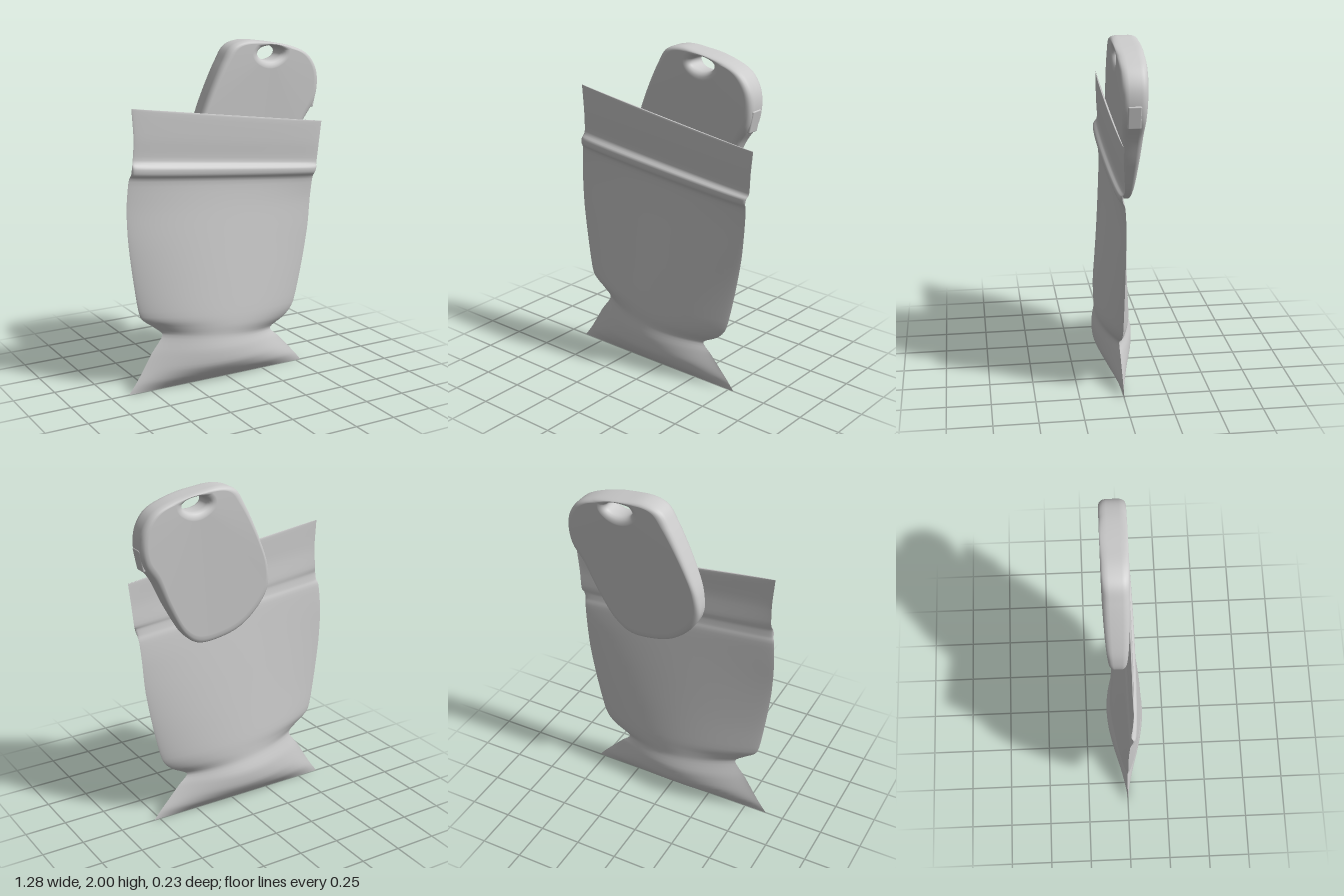
import * as THREE from 'three';
import { RoundedBoxGeometry } from 'three/addons/geometries/RoundedBoxGeometry.js';

const material = new THREE.MeshStandardMaterial({ color: 0xcccccc });

// Smooth surface through rows of points; wrap closes it along both directions
function surface(rows, flip, wrap = false) {
  const m = rows.length, n = rows[0].length, index = [];
  const iEnd = wrap ? m : m - 1, jEnd = wrap ? n : n - 1;
  for (let i = 0; i < iEnd; i++) for (let j = 0; j < jEnd; j++) {
    const i2 = (i + 1) % m, j2 = (j + 1) % n;
    const a = i * n + j, b = i2 * n + j, c = i2 * n + j2, d = i * n + j2;
    if (flip) index.push(a, c, b, a, d, c);
    else index.push(a, b, c, a, c, d);
  }
  const g = new THREE.BufferGeometry();
  g.setAttribute('position', new THREE.Float32BufferAttribute(rows.flat(2), 3));
  g.setIndex(index);
  g.computeVertexNormals();
  return g;
}

function add(group, name, geometry) {
  const mesh = new THREE.Mesh(geometry, material);
  mesh.name = name;
  group.add(mesh);
  return mesh;
}

// Pouch rows: left x, y | right x, y | edge z | front bulge, back bulge, bulge power
const pouchRows = [
  [-0.60, 1.665, 0.645, 1.50, 0.022, 0.010, -0.010, 0.5],
  [-0.60, 1.655, 0.643, 1.49, 0.022, 0.017, -0.004, 0.5],
  [-0.59, 1.50, 0.63, 1.37, 0.020, 0.016, -0.004, 0.5],
  [-0.595, 1.38, 0.62, 1.255, 0.014, 0.016, 0.002, 0.5],
  [-0.605, 1.34, 0.61, 1.225, 0.025, 0.033, 0.012, 0.3],
  [-0.61, 1.30, 0.60, 1.19, 0.022, 0.033, 0.015, 0.3],
  [-0.62, 1.26, 0.595, 1.15, 0.008, 0.024, 0.012, 0.6],
  [-0.632, 1.10, 0.585, 1.03, 0, 0.038, 0.02, 0.8],
  [-0.625, 0.90, 0.57, 0.85, 0, 0.056, 0.04, 0.8],
  [-0.595, 0.65, 0.53, 0.62, 0, 0.08, 0.064, 0.8],
  [-0.56, 0.46, 0.475, 0.39, 0, 0.10, 0.084, 0.8],
  [-0.48, 0.39, 0.41, 0.31, 0, 0.103, 0.088, 0.9],
  [-0.42, 0.33, 0.31, 0.25, 0, 0.10, 0.092, 1],
  [-0.49, 0.23, 0.365, 0.19, 0, 0.113, 0.115, 1.2],
  [-0.55, 0.13, 0.43, 0.12, 0, 0.108, 0.108, 1.2],
  [-0.595, 0.06, 0.49, 0.055, 0, 0.065, 0.065, 1],
  [-0.64, 0.0, 0.535, 0.0, 0, 0, 0, 1],
];

function pouchPanel(front) {
  const spline = (f) => new THREE.CatmullRomCurve3(
    pouchRows.map((r) => new THREE.Vector3(...f(r))), false, 'catmullrom', 0.4);
  const left = spline((r) => [r[0], r[1], r[4]]);
  const right = spline((r) => [r[2], r[3], r[4]]);
  const bulge = spline((r) => [r[5], r[6], r[7]]);
  const steps = (pouchRows.length - 1) * 4, across = 32, rows = [];
  for (let i = 0; i <= steps; i++) {
    const l = left.getPoint(i / steps), r = right.getPoint(i / steps), t = bulge.getPoint(i / steps);
    const row = [];
    for (let j = 0; j <= across; j++) {
      const u = -Math.cos(Math.PI * j / across);
      const p = l.clone().lerp(r, (u + 1) / 2);
      const swell = Math.pow(Math.max(0, 1 - u * u), t.z);
      row.push([p.x, Math.max(0, p.y), p.z + swell * (front ? t.x : -t.y)]);
    }
    rows.push(row);
  }
  return surface(rows, !front);
}

// Fob outline, anticlockwise from the bottom
const fobOutline = [
  [0.10, 1.105], [0.25, 1.10], [0.34, 1.16], [0.45, 1.34], [0.53, 1.51], [0.60, 1.62],
  [0.62, 1.73], [0.605, 1.82], [0.55, 1.90], [0.45, 1.95], [0.25, 1.99], [0.12, 2.0],
  [0.03, 1.97], [-0.03, 1.88], [-0.15, 1.62], [-0.195, 1.48], [-0.20, 1.36],
  [-0.15, 1.26], [-0.03, 1.15],
];

function fobGeometry() {
  const curve = new THREE.CatmullRomCurve3(
    fobOutline.map(([x, y]) => new THREE.Vector3(x, y, 0)), true);
  const outer = curve.getSpacedPoints(180).slice(0, -1);
  const hole = new THREE.Vector3(0.285, 1.922, 0);
  const inner = outer.map((p) => {
    const d = p.clone().sub(hole);
    const k = 1 / Math.hypot(d.x / 0.08, d.y / 0.043);
    return hole.clone().addScaledVector(d, k);
  });
  // Front half of the section: rim, rounded edge, flat face, rounded hole lip
  const arc = [0, 1, 2, 3, 4].map((k) => k * Math.PI / 8);
  const round = arc.map((a) => [1 - Math.cos(a), Math.sin(a)]);
  const rim = [...round, [1.15, 1]];
  const half = [
    ...rim.map(([inset, h]) => [false, inset, h]),
    ...rim.slice().reverse().map(([inset, h]) => [true, inset, h]),
  ];
  const section = [
    ...half.map((s) => [...s, true]),
    ...half.slice().reverse().map((s) => [...s, false]),
  ];
  const rows = section.map(([atHole, inset, h, front]) => outer.map((o, j) => {
    const gap = o.distanceTo(inner[j]);
    const amount = inset * Math.min(0.04, 0.4 * gap) / gap;
    const p = o.clone().lerp(inner[j], atHole ? 1 - amount : amount);
    // The fob grows thicker from its foot to its top
    const t = Math.sin(Math.PI / 2 * THREE.MathUtils.clamp((p.y - 1.1) / 0.9, 0, 1));
    const zFront = -0.012 + 0.045 * t, zBack = -0.07 - 0.046 * t;
    const mid = (zFront + zBack) / 2, depth = (zFront - zBack) / 2;
    const z = depth * (0.45 + 0.55 * h);
    return [p.x, p.y, mid + (front ? z : -z)];
  }));
  return surface(rows, true, true);
}

export function createModel() {
  const model = new THREE.Group();
  model.name = 'pouchWithFob';

  const pouch = new THREE.Group();
  pouch.name = 'pouch';
  add(pouch, 'frontPanel', pouchPanel(true));
  add(pouch, 'backPanel', pouchPanel(false));

  const fob = new THREE.Group();
  fob.name = 'fob';
  add(fob, 'fobBody', fobGeometry());
  const button = add(fob, 'sideButton', new RoundedBoxGeometry(0.03, 0.13, 0.075, 2, 0.008));
  button.position.set(0.597, 1.65, -0.038);
  button.rotation.z = -0.2;

  model.add(pouch, fob);
  return model;
}
